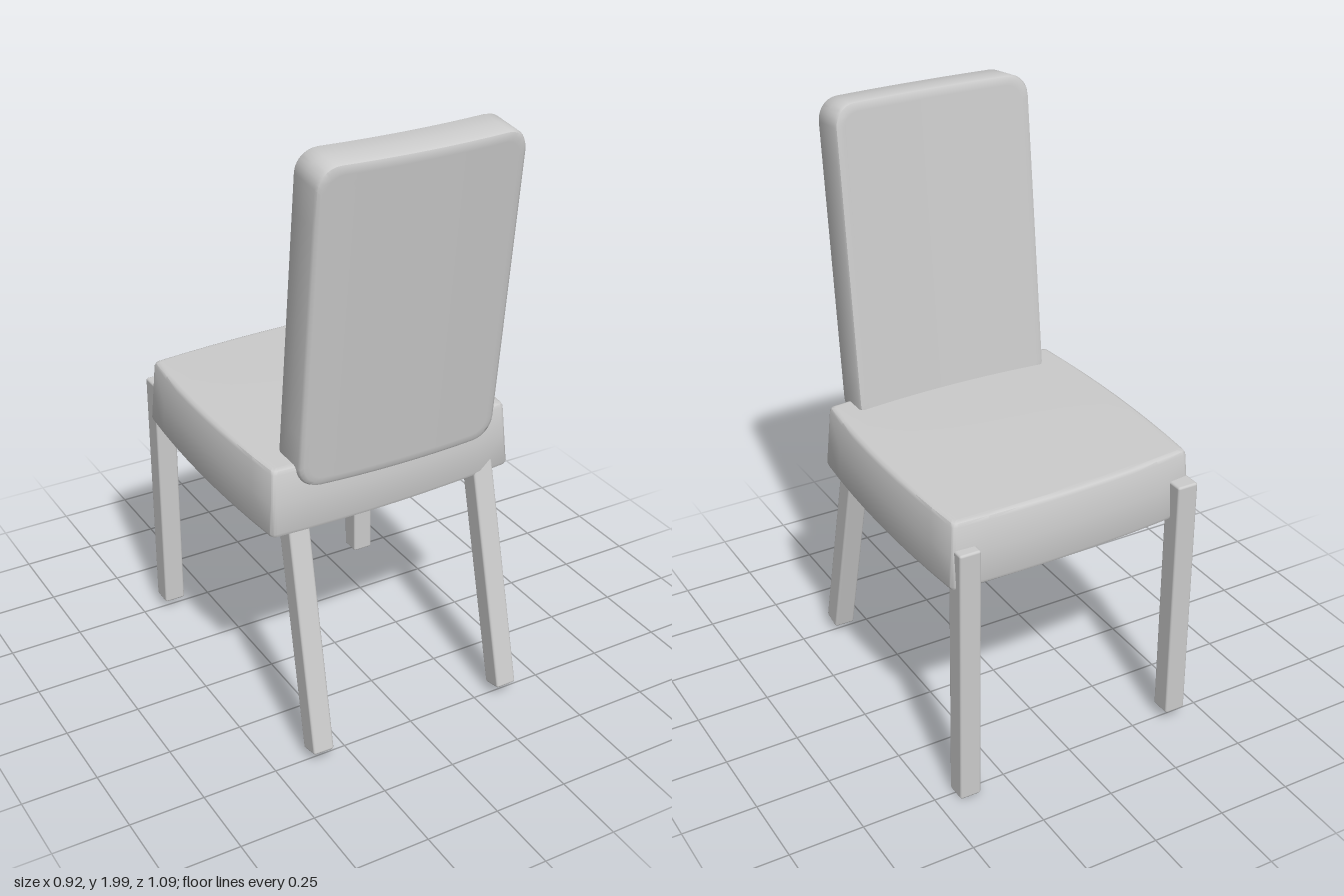
import * as THREE from 'three';
import { mergeVertices, toCreasedNormals } from 'three/addons/utils/BufferGeometryUtils.js';
import { RoundedBoxGeometry } from 'three/addons/geometries/RoundedBoxGeometry.js';

const material = new THREE.MeshStandardMaterial({ color: 0xcccccc });

// Move every vertex by a rule
function reshape(geometry, rule) {
  const pos = geometry.attributes.position;
  const v = new THREE.Vector3();
  for (let i = 0; i < pos.count; i++) {
    rule(v.fromBufferAttribute(pos, i));
    pos.setXYZ(i, v.x, v.y, v.z);
  }
  return geometry;
}

// Slab in the xy plane with rounded corners and soft edges, subdivided for bending
function cushion(width, height, depth, radius, bevel) {
  const geometry = new THREE.BoxGeometry(2, 2, 2, 16, 16, 6);
  const spread = (u, half) => {
    const k = Math.abs(u);
    const core = half - radius;
    return Math.sign(u) * (k > 0.5 ? core + radius * (k - 0.5) * 2 : core * k * 2);
  };
  reshape(geometry, (v) => {
    let x = spread(v.x, width / 2);
    let y = spread(v.y, height / 2);
    // round the four corners
    const cx = Math.abs(x) - (width / 2 - radius);
    const cy = Math.abs(y) - (height / 2 - radius);
    if (cx > 1e-6 && cy > 1e-6) {
      const s = Math.max(cx, cy) / Math.hypot(cx, cy);
      x = Math.sign(x) * (width / 2 - radius + cx * s);
      y = Math.sign(y) * (height / 2 - radius + cy * s);
    }
    // soften the edges of both faces
    const layer = Math.round(Math.abs(v.z) * 3);
    const inset = [0, 0, 0.3, 1][layer] * bevel;
    const drop = [depth / 2, bevel, 0.3 * bevel, 0][layer];
    v.set(x * (1 - (2 * inset) / width), y * (1 - (2 * inset) / height), Math.sign(v.z) * (depth / 2 - drop));
    if (layer === 0) v.z = 0;
  });
  geometry.deleteAttribute('normal');
  geometry.deleteAttribute('uv');
  return mergeVertices(geometry, 1e-5);
}

function part(name, geometry) {
  const mesh = new THREE.Mesh(geometry, material);
  mesh.name = name;
  return mesh;
}

// Square leg between two end points
function leg(name, bottom, top, size) {
  const a = new THREE.Vector3(...bottom);
  const b = new THREE.Vector3(...top);
  const mesh = part(name, new RoundedBoxGeometry(size, a.distanceTo(b), size, 2, 0.008));
  mesh.position.copy(a).add(b).multiplyScalar(0.5);
  mesh.quaternion.setFromUnitVectors(new THREE.Vector3(0, 1, 0), b.sub(a).normalize());
  return mesh;
}

export function createModel() {
  const chair = new THREE.Group();
  chair.name = 'chair';

  // Seat: bowed sides, narrower at the top, slightly skewed
  const halfX = 0.438, halfZ = 0.44, thick = 0.225;
  const seatGeometry = cushion(halfX * 2, halfZ * 2, thick, 0.015, 0.015).rotateX(-Math.PI / 2);
  reshape(seatGeometry, (v) => {
    const u = v.x / halfX, w = v.z / halfZ;
    const taper = 1 - 0.035 * (v.y / thick + 0.5);
    if (v.y > thick / 2 - 0.001) v.y += 0.004 * (1 - u * u) * (1 - w * w);
    v.x = (v.x + 0.022 * u * (1 - w * w)) * taper;
    v.z = (v.z + 0.02 * w * (1 - u * u)) * taper - 0.03 * v.x;
  });
  const seat = part('seat', toCreasedNormals(seatGeometry, 0.7));
  seat.position.set(0, 0.887, -0.066);
  chair.add(seat);

  // Backrest: bowed backwards and leaning
  const backGeometry = cushion(0.692, 1.065, 0.14, 0.07, 0.014);
  reshape(backGeometry, (v) => {
    v.z += 0.018 * (1 - (v.x / 0.346) ** 2);
    v.x *= 1 - 0.012 * v.y;
  });
  const backrest = part('backrest', toCreasedNormals(backGeometry, 0.7));
  backrest.position.set(0, 1.459, 0.382);
  backrest.rotation.x = 0.114;
  chair.add(backrest);

  // Upright legs, one a little shorter than the other
  chair.add(leg('uprightLegLeft', [0.392, 0, -0.506], [0.387, 0.91, -0.508], 0.073));
  chair.add(leg('uprightLegRight', [-0.392, 0.035, -0.504], [-0.392, 0.91, -0.504], 0.073));

  // Raked legs under the backrest
  for (const [name, side] of [['rakedLegLeft', 1], ['rakedLegRight', -1]]) {
    chair.add(leg(name, [side * 0.348, 0.035, 0.509], [side * 0.336, 0.83, 0.326], 0.072));
  }
  return chair;
}
